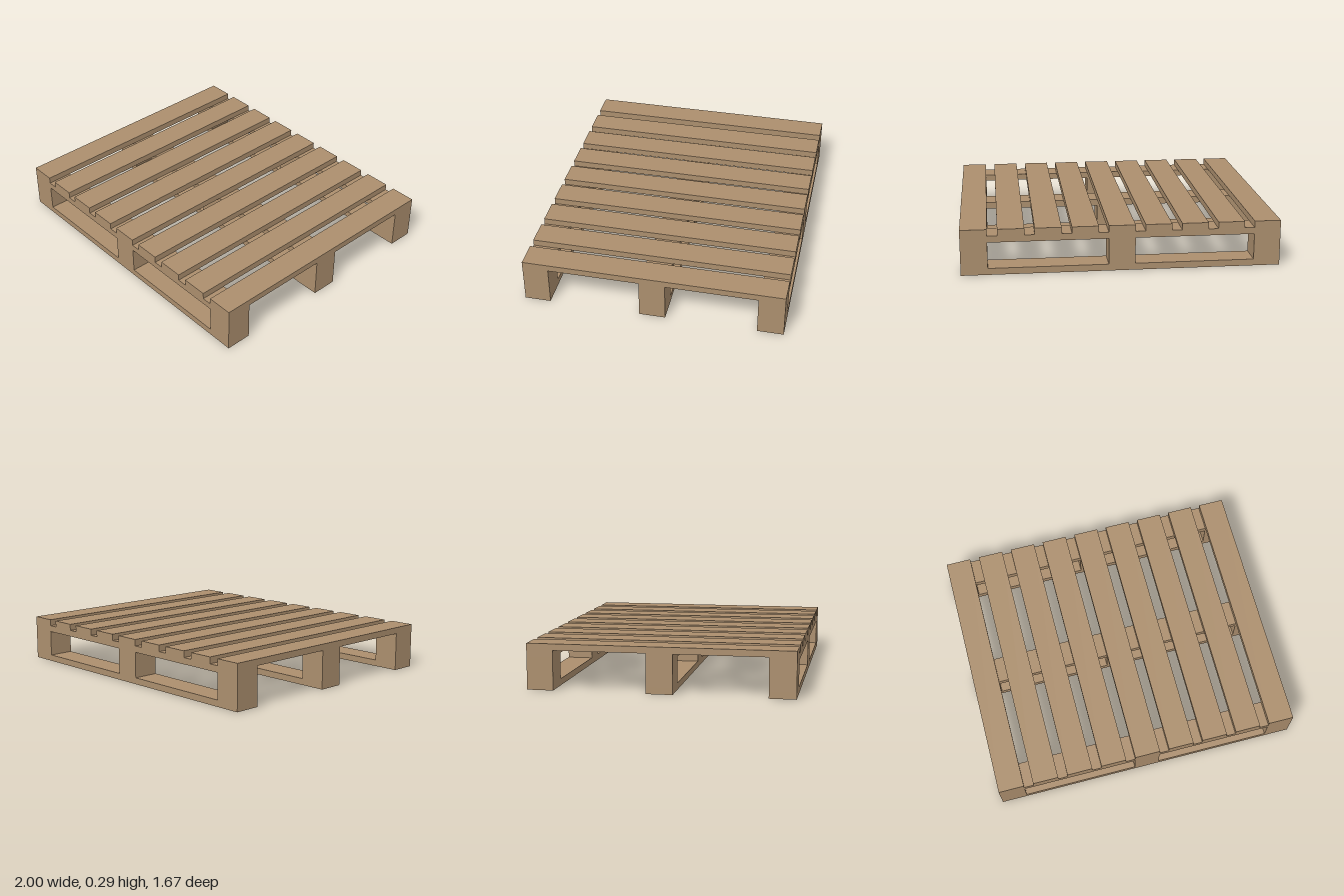
import * as THREE from 'three';

export function createModel() {
  const group = new THREE.Group();
  const wood = new THREE.MeshStandardMaterial({ color: 0xac8f6e });
  wood.name = 'wood';

  const board = 1 / 24; // board thickness
  const width = 1 / 6;  // board width and block size
  const depth = 5 / 3;

  // Box standing on height y
  function addBox(parent, name, w, h, d, x, y, z) {
    const mesh = new THREE.Mesh(new THREE.BoxGeometry(w, h, d), wood);
    mesh.name = name;
    mesh.position.set(x, y + h / 2, z);
    parent.add(mesh);
  }

  // Three runners: bottom board, three blocks and a stringer board
  ['backRunner', 'middleRunner', 'frontRunner'].forEach((name, i) => {
    const runner = new THREE.Group();
    runner.name = name;
    runner.position.z = (i - 1) * (depth - width) / 2;
    addBox(runner, 'bottomBoard', 2, board, width, 0, 0, 0);
    for (const side of [-1, 0, 1]) {
      addBox(runner, 'block', width, width, width, side * (1 - width / 2), board, 0);
    }
    addBox(runner, 'stringerBoard', 2, board, width, 0, board + width, 0);
    group.add(runner);
  });

  // Nine evenly spaced deck slats
  const deck = new THREE.Group();
  deck.name = 'deck';
  for (let i = 0; i < 9; i++) {
    const x = (i - 4) * (2 - width) / 8;
    addBox(deck, 'deckSlat', width, board, depth, x, 2 * board + width, 0);
  }
  group.add(deck);

  return group;
}
